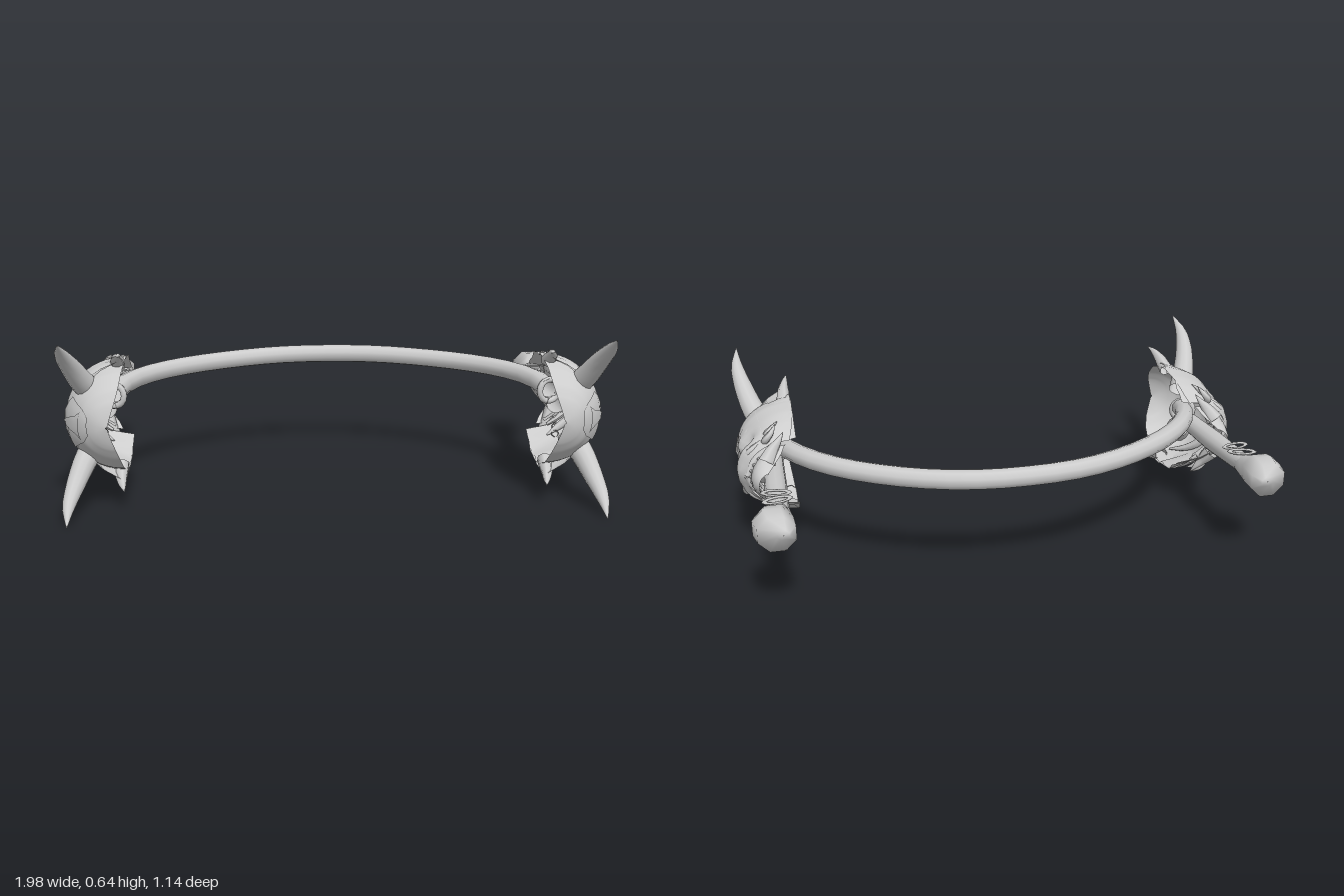
import * as THREE from 'three';

const metal = new THREE.MeshStandardMaterial({ color: 0xcccccc, side: THREE.DoubleSide });
metal.name = 'lightGrey';

const V = (x, y, z) => new THREE.Vector3(x, y, z);

function add(group, name, geometry) {
  const mesh = new THREE.Mesh(geometry, metal);
  mesh.name = name;
  group.add(mesh);
  return mesh;
}

// Surface through rows of points; closed joins the last column to the first
function skin(rows, closed = false) {
  const n = rows[0].length, index = [];
  for (let i = 0; i < rows.length - 1; i++) {
    for (let j = 0; j < (closed ? n : n - 1); j++) {
      const k = (j + 1) % n;
      const a = i * n + j, b = a + n, c = (i + 1) * n + k, d = i * n + k;
      index.push(a, b, c, a, c, d);
    }
  }
  const g = new THREE.BufferGeometry().setFromPoints(rows.flat());
  g.setIndex(index);
  g.computeVertexNormals();
  return g;
}

// Curved tube whose radius follows a list of values
function taper(points, radii, sides = 8, steps = 10) {
  const curve = new THREE.CatmullRomCurve3(points);
  const g = new THREE.TubeGeometry(curve, steps, 1, sides);
  const p = g.attributes.position, v = V();
  for (let i = 0; i < p.count; i++) {
    const t = Math.floor(i / (sides + 1)) / steps;
    const f = t * (radii.length - 1), k = Math.min(Math.floor(f), radii.length - 2);
    const r = THREE.MathUtils.lerp(radii[k], radii[k + 1], f - k);
    const c = curve.getPointAt(t);
    v.fromBufferAttribute(p, i).sub(c).multiplyScalar(r).add(c);
    p.setXYZ(i, v.x, v.y, v.z);
  }
  g.computeVertexNormals();
  return g;
}

// Mask stations: z, half width, crown x, rim x
const stations = [
  [0.445, 0.004, 0.815, 0.81], [0.44, 0.04, 0.845, 0.8], [0.428, 0.08, 0.872, 0.787],
  [0.4, 0.125, 0.912, 0.775], [0.34, 0.175, 0.955, 0.768], [0.27, 0.2, 0.98, 0.765],
  [0.2, 0.21, 0.982, 0.765], [0.12, 0.2, 0.965, 0.768], [0.06, 0.18, 0.962, 0.775],
  [0.02, 0.15, 0.962, 0.785], [-0.005, 0.13, 0.955, 0.795],
];

function station(z) {
  let i = 0;
  while (i < stations.length - 2 && z < stations[i + 1][0]) i++;
  const a = stations[i], b = stations[i + 1];
  const t = THREE.MathUtils.clamp((a[0] - z) / (a[0] - b[0]), 0, 1);
  return a.map((q, k) => q + (b[k] - q) * t);
}

// Face relief: z, y, size, height
const bumps = [
  [0.05, 0, 0.04, 0.03], [0.14, 0.075, 0.035, 0.02], [0.095, 0.09, 0.03, -0.028],
  [0.05, 0.085, 0.03, 0.026], [0.13, 0, 0.025, -0.014], [0.06, 0.045, 0.025, 0.016],
];

function faceX(z, y) {
  const [, w, crown, rim] = station(z);
  const s = Math.min(Math.abs(y) / w, 1);
  let x = rim + (crown - rim) * Math.sqrt(1 - s ** 2.3);
  for (const [bz, by, size, h] of bumps) {
    const d = (z - bz) ** 2 + (Math.abs(y) - by) ** 2;
    x += h * Math.exp(-d / size ** 2) * (1 - s ** 4);
  }
  return x;
}
const onFace = (z, y, lift = 0) => V(faceX(z, y) + lift, y, z);

function createMask() {
  const g = new THREE.Group();
  g.name = 'mask';

  // Domed face shell
  const rows = [];
  for (let i = 0; i <= 40; i++) {
    const z = 0.445 - 0.45 * (i / 40) ** 1.4;
    const w = station(z)[1], row = [];
    for (let j = 0; j <= 28; j++) row.push(onFace(z, w * Math.sin((j / 28 - 0.5) * Math.PI)));
    rows.push(row);
  }
  add(g, 'faceShell', skin(rows));

  // Winged forehead crest and the smaller star on it
  const crest = (name, profile, lift) => add(g, name, skin(profile.map(([z, w]) =>
    [-1, -0.75, -0.5, -0.25, 0, 0.25, 0.5, 0.75, 1].map((s) => onFace(z, w * s, lift)))));
  crest('foreheadCrest', [[0.425, 0.03], [0.405, 0.06], [0.375, 0.075], [0.34, 0.093], [0.318, 0.07], [0.29, 0.036], [0.256, 0.001]], 0.009);
  crest('crestStar', [[0.405, 0.05], [0.385, 0.03], [0.36, 0.024], [0.33, 0.013], [0.295, 0.001]], 0.014);

  // Lower jaw, curving outward to the chin: z, half width, crown x, rim x
  const jaw = [
    [-0.024, 0.118, 0.93, 0.81], [-0.036, 0.118, 0.945, 0.815], [-0.06, 0.096, 0.942, 0.83],
    [-0.088, 0.066, 0.935, 0.86], [-0.113, 0.043, 0.92, 0.885],
  ].map(([z, w, c, r]) => Array.from({ length: 15 }, (_, j) => {
    const a = (j / 14 - 0.5) * Math.PI;
    return V(r + (c - r) * Math.cos(a), w * Math.sin(a), z + 0.012 * Math.abs(Math.sin(a)) ** 3);
  }));
  add(g, 'jaw', skin(jaw));

  // Mouth lining and two rows of teeth
  const lipX = (y) => 0.945 - 8 * y * y;
  add(g, 'mouthLining', skin([0.015, -0.04].map((z) =>
    Array.from({ length: 9 }, (_, j) => {
      const y = (j / 8 - 0.5) * 0.2;
      return V(lipX(y) - 0.025, y, z);
    }))));
  for (let i = -4; i <= 4; i++) {
    const y = i * 0.022, big = Math.abs(i) === 3;
    const z = y * y * 1.2;
    const upper = add(g, 'upperTooth', new THREE.ConeGeometry(0.012, big ? 0.045 : 0.03, 6));
    upper.position.set(lipX(y), y, -0.01 + z);
    upper.rotation.x = -Math.PI / 2;
    const lower = add(g, 'lowerTooth', new THREE.ConeGeometry(0.011, big ? 0.035 : 0.024, 6));
    lower.position.set(lipX(y) - 0.006, y, -0.026 + z);
    lower.rotation.x = Math.PI / 2;
  }

  // Ragged outer edge of the side frills: z, y
  const frill = [
    [0.33, 0.225], [0.3, 0.22], [0.265, 0.205], [0.24, 0.22], [0.2, 0.22], [0.17, 0.197],
    [0.13, 0.203], [0.085, 0.197], [0.06, 0.168], [0.03, 0.155], [0, 0.132],
  ];
  for (const s of [1, -1]) {
    const side = (name, pts, radii, n = 7) =>
      add(g, name, taper(pts.map(([x, y, z]) => V(x, y * s, z)), radii, n));

    side('horn', [[0.87, 0.085, 0.27], [0.905, 0.14, 0.33], [0.935, 0.215, 0.405], [0.95, 0.272, 0.485], [0.945, 0.318, 0.57]],
      [0.047, 0.043, 0.035, 0.024, 0.002], 12);
    side('browRidge', [[0.955, 0.02, 0.12], [0.958, 0.06, 0.145], [0.925, 0.115, 0.16], [0.88, 0.155, 0.2], [0.83, 0.175, 0.25]],
      [0.008, 0.02, 0.018, 0.014, 0.004]);
    side('cheekFold', [[0.955, 0.04, 0.06], [0.945, 0.075, 0.035], [0.9, 0.11, 0.035], [0.84, 0.145, 0.06]],
      [0.012, 0.018, 0.015, 0.003]);
    side('upperLip', [[0.955, 0, 0.004], [0.935, 0.045, 0.008], [0.895, 0.085, 0.012], [0.85, 0.115, 0.01]],
      [0.014, 0.014, 0.012, 0.006]);
    side('frillSpike', [[0.79, 0.19, 0.24], [0.785, 0.218, 0.305], [0.775, 0.238, 0.355], [0.765, 0.245, 0.4]],
      [0.028, 0.024, 0.014, 0.001]);
    side('earCurl', [[0.88, 0.115, 0.04], [0.88, 0.135, 0.01], [0.86, 0.16, 0.005], [0.84, 0.187, 0.028]],
      [0.016, 0.015, 0.011, 0.001]);
    side('cheekCurl', [[0.87, 0.135, 0.075], [0.87, 0.15, 0.04], [0.85, 0.17, 0.045], [0.83, 0.182, 0.068]],
      [0.014, 0.014, 0.009, 0.001]);
    side('jawSpike', [[0.885, 0.07, -0.05], [0.86, 0.11, -0.03], [0.835, 0.14, -0.022], [0.815, 0.168, -0.01]],
      [0.034, 0.026, 0.014, 0.001]);

    const edge = frill.map(([z, y]) => {
      const yi = station(z)[1] * 0.8;
      const inner = V(faceX(z, yi), yi, z), outer = V(0.768, y, z + 0.01);
      const mid = inner.clone().lerp(outer, 0.5);
      mid.x += 0.012;
      const row = [inner, mid, outer];
      row.forEach((p) => { p.y *= s; });
      return s > 0 ? row : row.reverse();
    });
    add(g, 'sideFrill', skin(edge));
  }
  return g;
}

function createHandle() {
  const g = new THREE.Group();
  g.name = 'handle';

  // Shaft running behind the mask
  add(g, 'shaft', taper([V(0.85, 0, 0.15), V(0.862, 0.002, -0.11), V(0.867, 0.015, -0.38)], [0.036, 0.042, 0.036], 12));

  // Angular pommel: z, centre x, centre y, x radius, y radius
  const pommel = [
    [-0.36, 0.867, 0.014, 0.036, 0.034], [-0.41, 0.872, 0.015, 0.045, 0.052], [-0.44, 0.893, 0.016, 0.068, 0.068],
    [-0.47, 0.896, 0.015, 0.076, 0.071], [-0.535, 0.888, 0.014, 0.07, 0.068], [-0.57, 0.868, 0.026, 0.022, 0.018],
    [-0.571, 0.868, 0.026, 0.001, 0.001],
  ].map(([z, x, y, rx, ry]) => Array.from({ length: 8 }, (_, j) => {
    const a = (j + 0.5) * Math.PI / 4;
    return V(x + rx * Math.cos(a), y + ry * Math.sin(a), z);
  }));
  add(g, 'pommel', skin(pommel, true));

  // Flat ribbon loops tied on top of the shaft
  [[-0.285, 0.2], [-0.345, -0.25]].forEach(([z, turn]) => {
    const loop = add(g, 'ribbonLoop', new THREE.TorusGeometry(0.036, 0.008, 5, 14));
    loop.position.set(0.87, 0.052, z);
    loop.rotation.set(Math.PI / 2, 0, turn);
    loop.scale.set(1.3, 0.6, 0.6);
  });
  return g;
}

export function createModel() {
  const model = new THREE.Group();
  model.name = 'hornedMaskBand';

  // Mirrored pair of masks with handles
  for (const s of [1, -1]) {
    const side = new THREE.Group();
    side.name = s > 0 ? 'leftSide' : 'rightSide';
    side.add(createMask(), createHandle());
    const ring = add(side, 'bandRing', new THREE.TorusGeometry(0.042, 0.012, 8, 18));
    ring.position.set(0.825, 0.05, 0.13);
    ring.rotation.y = 0.35;
    side.position.y = 0.325;
    side.scale.x = s;
    model.add(side);
  }

  // Arched band joining both sides
  const half = [
    [0.82, 0.385, 0.14], [0.79, 0.4, 0.03], [0.725, 0.407, -0.09], [0.6, 0.411, -0.225],
    [0.4, 0.414, -0.355], [0.2, 0.417, -0.43],
  ];
  const path = [...half.map(([x, y, z]) => V(-x, y, z)), V(0, 0.418, -0.45),
    ...half.slice().reverse().map(([x, y, z]) => V(x, y, z))];
  add(model, 'band', new THREE.TubeGeometry(new THREE.CatmullRomCurve3(path), 24, 0.037, 10));
  return model;
}
